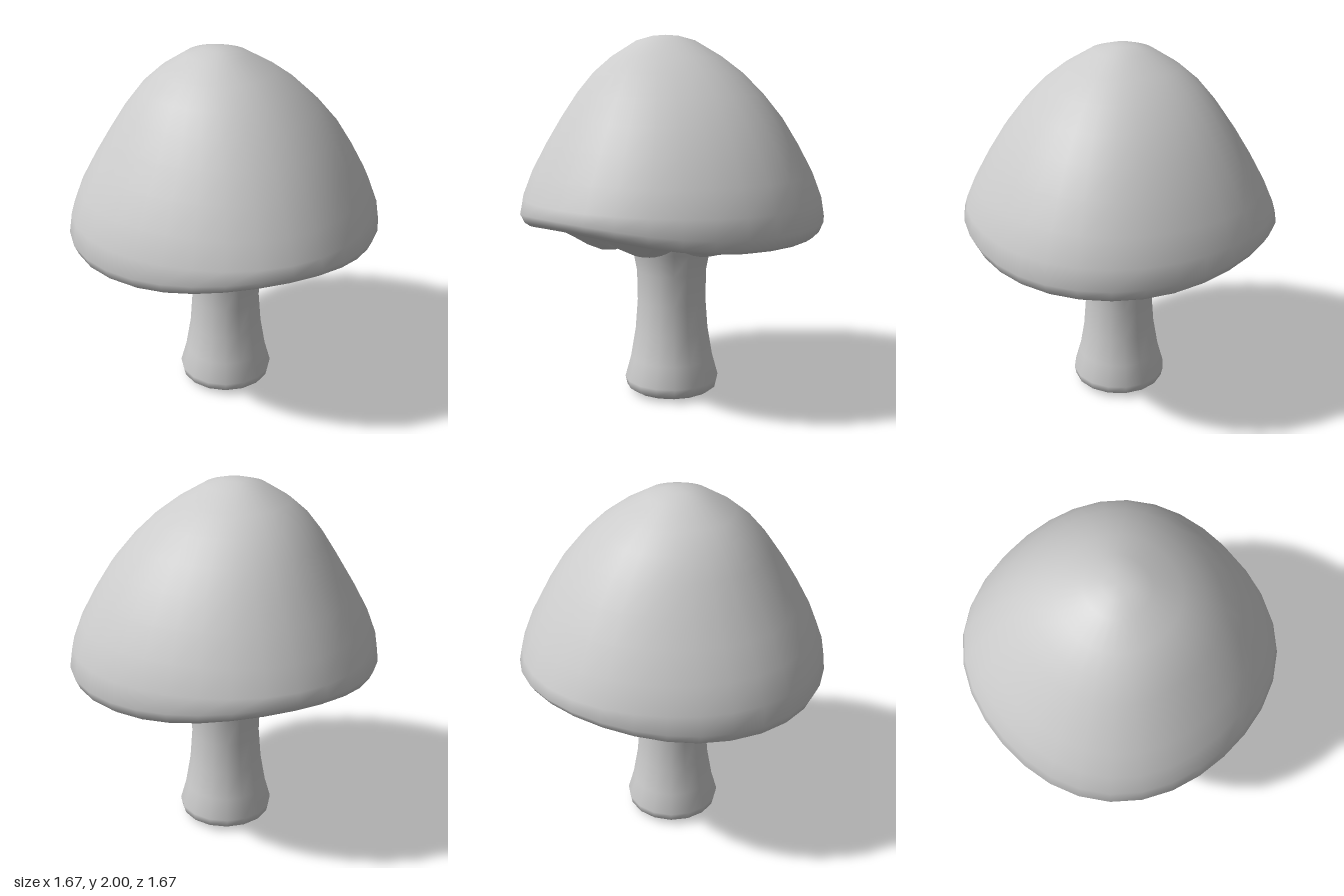
import * as THREE from 'three';

const grey = new THREE.MeshStandardMaterial({ color: 0xcccccc, side: THREE.DoubleSide });

// Skins rings of `sides` points; rings run bottom to top, radius 0 closes to a pole.
function loft(name, profile, sides, shape) {
  const pos = [], index = [];
  const id = (i, j) => i * sides + (profile[i][0] === 0 ? 0 : j % sides);
  profile.forEach(([r, y]) => {
    for (let j = 0; j < sides; j++) {
      pos.push(...shape(r, y, (j / sides) * Math.PI * 2));
    }
  });
  for (let i = 0; i < profile.length - 1; i++) {
    for (let j = 0; j < sides; j++) {
      const a = id(i, j), b = id(i + 1, j), c = id(i, j + 1), d = id(i + 1, j + 1);
      if (a !== c) index.push(a, b, c);
      if (b !== d) index.push(c, b, d);
    }
  }
  const geo = new THREE.BufferGeometry();
  geo.setAttribute('position', new THREE.Float32BufferAttribute(pos, 3));
  geo.setIndex(index);
  geo.computeVertexNormals();
  const mesh = new THREE.Mesh(geo, grey);
  mesh.name = name;
  return mesh;
}

const smooth = THREE.MathUtils.smoothstep;
// Slightly squared outline, and a rim that lifts at two opposite corners
const square = (t) => 1 + 0.017 * (1 - Math.cos(4 * t));
const lift = (t) => 0.09 * (0.5 + 0.5 * Math.sin(2 * t)) ** 2;

export function createModel() {
  const group = new THREE.Group();
  group.name = 'mushroom';

  // Cap: rounded cone with a curled rim and a slightly off-centre top
  const capProfile = [
    [0.74, 0.95], [0.785, 0.945], [0.812, 0.965], [0.835, 1.02], [0.818, 1.13],
    [0.765, 1.27], [0.685, 1.42], [0.6, 1.56], [0.505, 1.69], [0.405, 1.8],
    [0.3, 1.885], [0.16, 1.97], [0.07, 1.995], [0, 2.0],
  ];
  group.add(loft('cap', capProfile, 32, (r, y, t) => {
    const lean = smooth(y, 1.5, 2);
    const s = r * square(t);
    return [
      s * Math.cos(t) - 0.04 * lean,
      y + lift(t) * (1 - smooth(y, 0.95, 1.2)),
      s * Math.sin(t) + 0.03 * lean,
    ];
  }));

  // Gills: eight swelling lobes meeting in creases, fading out toward the rim
  const gillProfile = [
    [0.19, 0.97], [0.24, 0.955], [0.28, 0.945], [0.32, 0.94], [0.37, 0.937],
    [0.43, 0.937], [0.5, 0.94], [0.58, 0.945], [0.66, 0.95], [0.74, 0.95],
  ];
  group.add(loft('gills', gillProfile, 96, (r, y, t) => {
    const lobe = Math.sqrt(Math.abs(Math.sin(4 * t)));
    const depth = 0.085 * smooth(r, 0.2, 0.36) * (1 - smooth(r, 0.36, 0.74));
    const s = r * (1 + (square(t) - 1) * smooth(r, 0.3, 0.74));
    return [
      s * Math.cos(t),
      y - depth * lobe + lift(t) * smooth(r, 0.42, 0.74),
      s * Math.sin(t),
    ];
  }));

  // Stem: waisted column with a flared top and a swollen foot
  const stemProfile = [
    [0, 0], [0.15, 0.005], [0.225, 0.015], [0.255, 0.035], [0.265, 0.08],
    [0.232, 0.2], [0.205, 0.36], [0.192, 0.53], [0.195, 0.7], [0.218, 0.82],
    [0.245, 0.91], [0.27, 0.97],
  ];
  group.add(loft('stem', stemProfile, 16, (r, y, t) => [r * Math.cos(t), y, r * Math.sin(t)]));

  return group;
}
